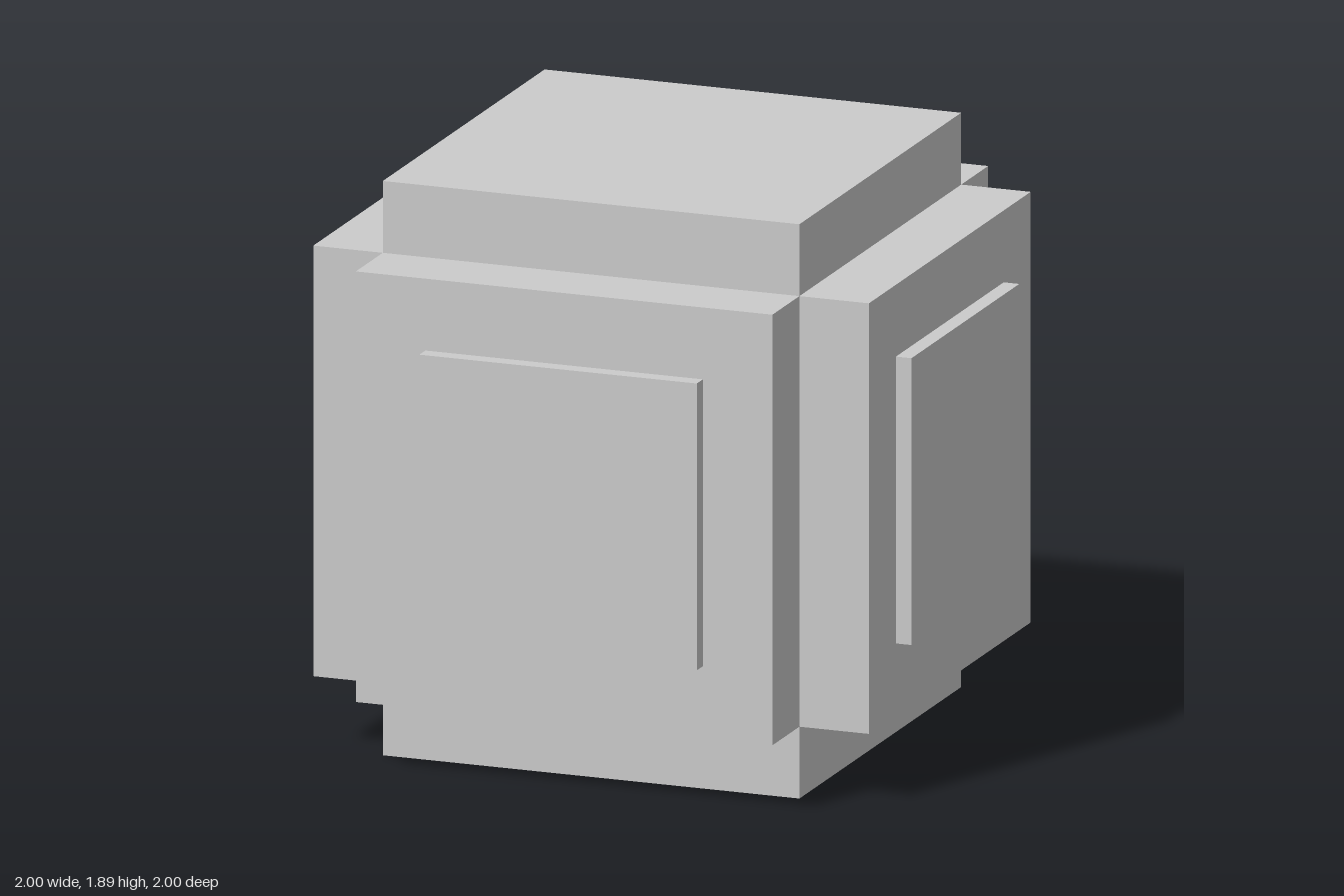
import * as THREE from 'three';

const MID = 0.947;   // height of the centre
const CORE = 0.71;   // half side of the core cube
const OUTER = 0.947; // distance of the slab faces from the centre
const PANEL = 0.473; // half side of the raised panels

export function createModel() {
  const model = new THREE.Group();
  model.name = 'steppedCube';
  const material = new THREE.MeshStandardMaterial({ color: 0xcccccc, flatShading: true });

  function addBox(parent, name, w, h, d, z = 0) {
    const mesh = new THREE.Mesh(new THREE.BoxGeometry(w, h, d), material);
    mesh.name = name;
    mesh.position.z = z;
    parent.add(mesh);
  }

  // Square block spanning z from near to far
  function addSlab(parent, name, half, near, far) {
    addBox(parent, name, half * 2, half * 2, far - near, (near + far) / 2);
  }

  // Central cube
  const body = new THREE.Group();
  body.name = 'body';
  body.position.y = MID;
  model.add(body);
  addBox(body, 'core', CORE * 2, CORE * 2, CORE * 2);

  // Six slabs, the four upright ones carrying a raised panel
  const sides = [
    ['front', 0, 0, true],
    ['left', 0, Math.PI / 2, true],
    ['back', 0, Math.PI, true],
    ['right', 0, -Math.PI / 2, true],
    ['top', -Math.PI / 2, 0, false],
    ['bottom', Math.PI / 2, 0, false],
  ];
  for (const [name, rx, ry, hasPanel] of sides) {
    const side = new THREE.Group();
    side.name = name + 'Side';
    side.rotation.set(rx, ry, 0);
    addSlab(side, name + 'Slab', CORE, CORE, OUTER);
    if (hasPanel) addSlab(side, name + 'Panel', PANEL, OUTER, 1);
    body.add(side);
  }

  return model;
}
